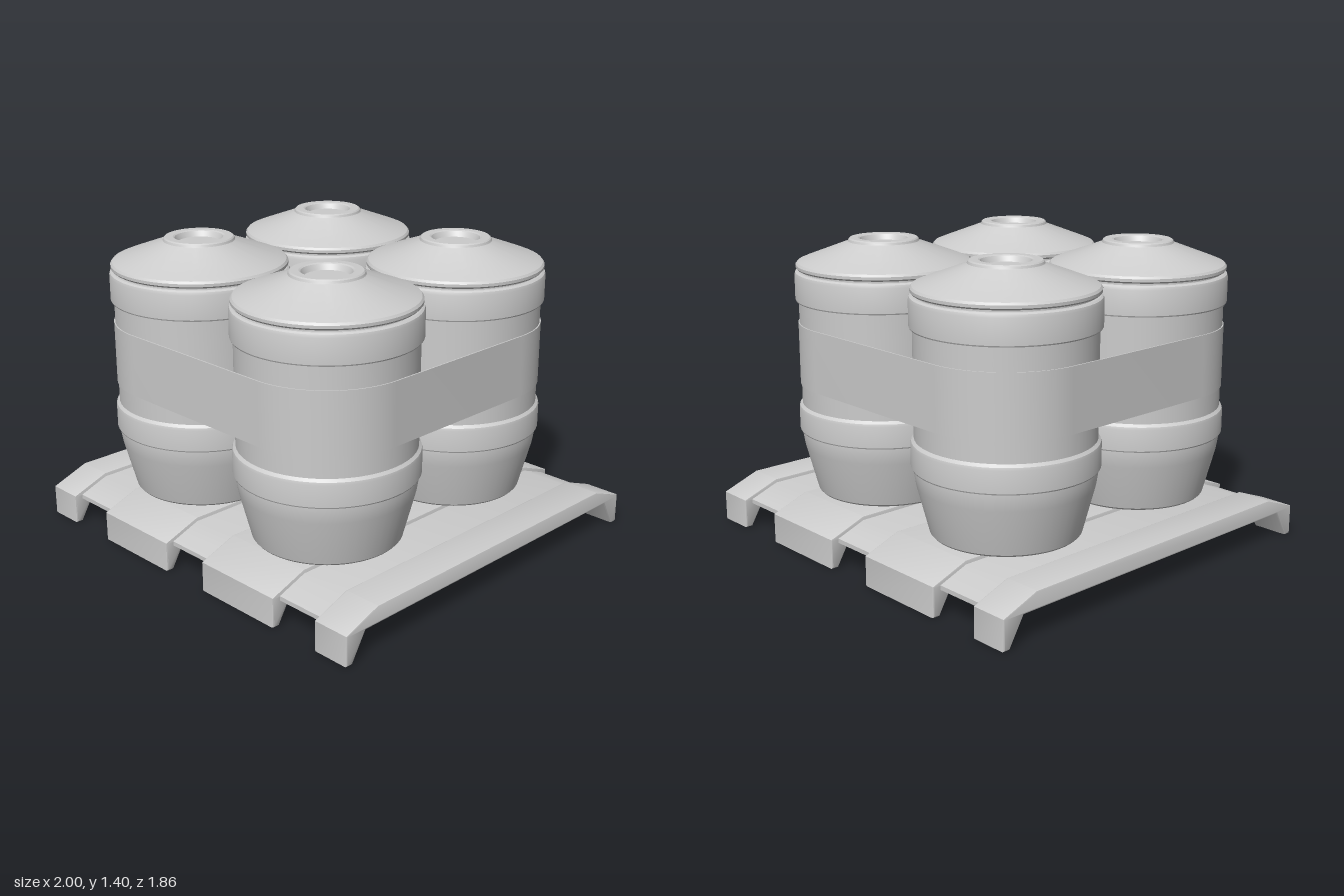
import * as THREE from 'three';
import { toCreasedNormals } from 'three/addons/utils/BufferGeometryUtils.js';

const grey = new THREE.MeshStandardMaterial({ color: 0xcccccc });
const X = [-0.435, 0.39]; // barrel columns
const Z = [-0.39, 0.43]; // barrel rows

function add(parent, name, geometry) {
  const mesh = new THREE.Mesh(toCreasedNormals(geometry, 0.45), grey);
  mesh.name = name;
  parent.add(mesh);
  return mesh;
}

// Prism with a z-mirrored side outline [z, y], running from x0 to x1
function beam(half, x0, x1, bevel) {
  const points = [...half, ...half.map(([z, y]) => [-z, y]).reverse()];
  const shape = new THREE.Shape(points.map(([z, y]) => new THREE.Vector2(z, y)));
  const geo = new THREE.ExtrudeGeometry(shape, {
    depth: x1 - x0 - 2 * bevel, bevelEnabled: bevel > 0,
    bevelSize: bevel, bevelThickness: bevel, bevelOffset: -bevel, bevelSegments: 2,
  });
  return geo.rotateY(-Math.PI / 2).translate(x1 - bevel, 0, 0);
}

// Rounded rectangle enclosing the four barrels at radius r
function strapOutline(path, r) {
  const [x0, x1] = X;
  const [y0, y1] = [-Z[1], -Z[0]];
  const q = Math.PI / 2;
  path.moveTo(x0, y0 - r);
  path.lineTo(x1, y0 - r);
  path.absarc(x1, y0, r, -q, 0);
  path.lineTo(x1 + r, y1);
  path.absarc(x1, y1, r, 0, q);
  path.lineTo(x0, y1 + r);
  path.absarc(x0, y1, r, q, 2 * q);
  path.lineTo(x0 - r, y0);
  path.absarc(x0, y0, r, 2 * q, 3 * q);
  return path;
}

export function createModel() {
  const model = new THREE.Group();
  model.name = 'palletWithBarrels';

  // Pallet: four planks with bent feet over a thinner deck
  const pallet = new THREE.Group();
  pallet.name = 'pallet';
  model.add(pallet);
  const plank = [[0.82, 0.125], [0.895, 0], [0.93, 0], [0.93, 0.138], [0.75, 0.205]];
  for (const [x0, x1] of [[-1, -0.825], [-0.58, -0.125], [0.12, 0.575], [0.82, 1]]) {
    add(pallet, 'plank', beam(plank, x0, x1, 0.007));
  }
  const deck = [[0.75, 0.16], [0.89, 0.115], [0.89, 0.135], [0.75, 0.187]];
  add(pallet, 'deck', beam(deck, -0.98, 0.98, 0));

  // Barrel body and lid profiles as [radius, height]
  const body = [
    [0, 0.21], [0.328, 0.21], [0.335, 0.218], [0.39, 0.43], [0.398, 0.48], [0.398, 0.505],
    [0.408, 0.508], [0.411, 0.514], [0.411, 0.612], [0.408, 0.624], [0.396, 0.636],
    [0.396, 1.12], [0.408, 1.12], [0.411, 1.126], [0.411, 1.238], [0.407, 1.251],
    [0.398, 1.257], [0.385, 1.257], [0.385, 1.29],
  ];
  const lid = [
    [0.385, 1.266], [0.398, 1.266], [0.404, 1.273], [0.404, 1.286], [0.396, 1.296],
    [0.367, 1.308], [0.168, 1.383], [0.164, 1.386], [0.16, 1.396], [0.154, 1.401],
    [0.118, 1.401], [0.11, 1.397], [0.097, 1.373], [0, 1.373],
  ];
  const lathe = (p) => new THREE.LatheGeometry(p.map(([r, y]) => new THREE.Vector2(r, y)), 56);
  for (const x of X) {
    for (const z of Z) {
      const barrel = new THREE.Group();
      barrel.name = 'barrel';
      barrel.position.set(x, 0, z);
      add(barrel, 'barrelBody', lathe(body));
      add(barrel, 'barrelLid', lathe(lid));
      model.add(barrel);
    }
  }

  // Strap wrapped around all four barrels
  const ring = strapOutline(new THREE.Shape(), 0.401);
  ring.holes.push(strapOutline(new THREE.Path(), 0.395));
  const strap = new THREE.ExtrudeGeometry(ring, { depth: 0.287, bevelEnabled: false, curveSegments: 20 });
  add(model, 'strap', strap.rotateX(-Math.PI / 2).translate(0, 0.73, 0));

  return model;
}
